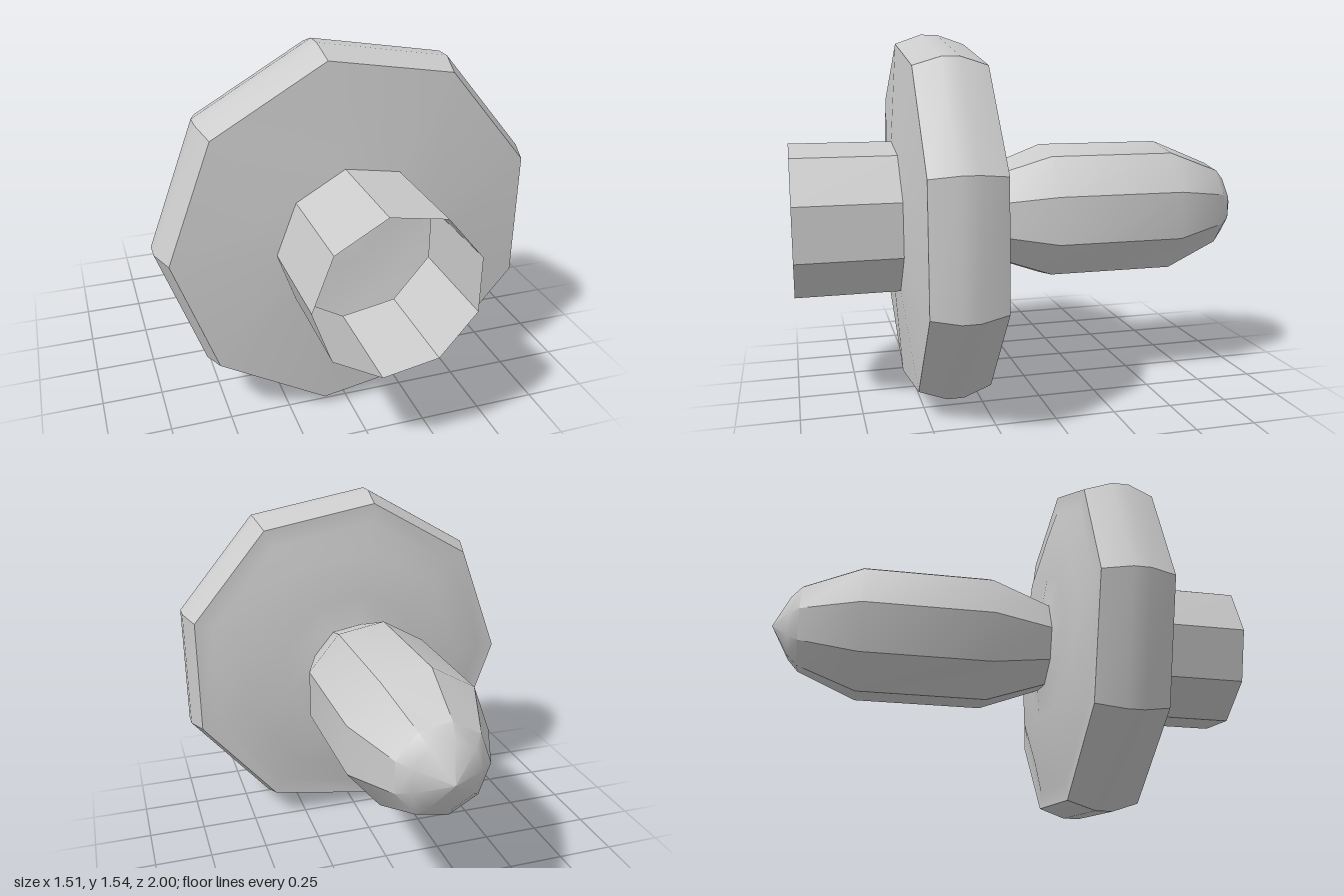
import * as THREE from 'three';
import { toCreasedNormals } from 'three/addons/utils/BufferGeometryUtils.js';

const SIDES = 9;
const CENTRE_Y = 0.769;

// Nine-sided turned part along z; profile points are [radius, z], from back to front
function turned(name, profile) {
  const points = profile.map(([r, z]) => new THREE.Vector2(r, z));
  const geometry = new THREE.LatheGeometry(points, SIDES, -Math.PI / 2);
  geometry.rotateX(Math.PI / 2);

  // The wide rim sits slightly off the axis of the stem and bulb
  const pos = geometry.attributes.position;
  for (let i = 0; i < pos.count; i++) {
    const r = Math.hypot(pos.getX(i), pos.getY(i));
    pos.setX(i, pos.getX(i) + 0.0115 + 0.012 * THREE.MathUtils.smoothstep(r, 0.35, 0.7));
  }

  const material = new THREE.MeshStandardMaterial({ color: 0xcccccc, side: THREE.DoubleSide });
  const mesh = new THREE.Mesh(toCreasedNormals(geometry, 0.6), material);
  mesh.name = name;
  mesh.position.y = CENTRE_Y;
  return mesh;
}

export function createModel() {
  const group = new THREE.Group();
  group.name = 'model';

  // Hollow bulb: pointed tip, straight body, narrow neck
  group.add(turned('bulb', [
    [0, -1], [0.14, -0.925], [0.19, -0.88], [0.297, -0.63], [0.297, -0.08], [0.2, 0.18],
  ]));

  // Hollow disc: stepped back, rounded rim, shallow cone at the front
  group.add(turned('disc', [
    [0.2, 0.18], [0.33, 0.2], [0.53, 0.2], [0.66, 0.242], [0.74, 0.245],
    [0.78, 0.36], [0.78, 0.43], [0.74, 0.54], [0.325, 0.575],
  ]));

  // Open tube at the front
  group.add(turned('tube', [[0.325, 0.575], [0.325, 1]]));

  return group;
}
